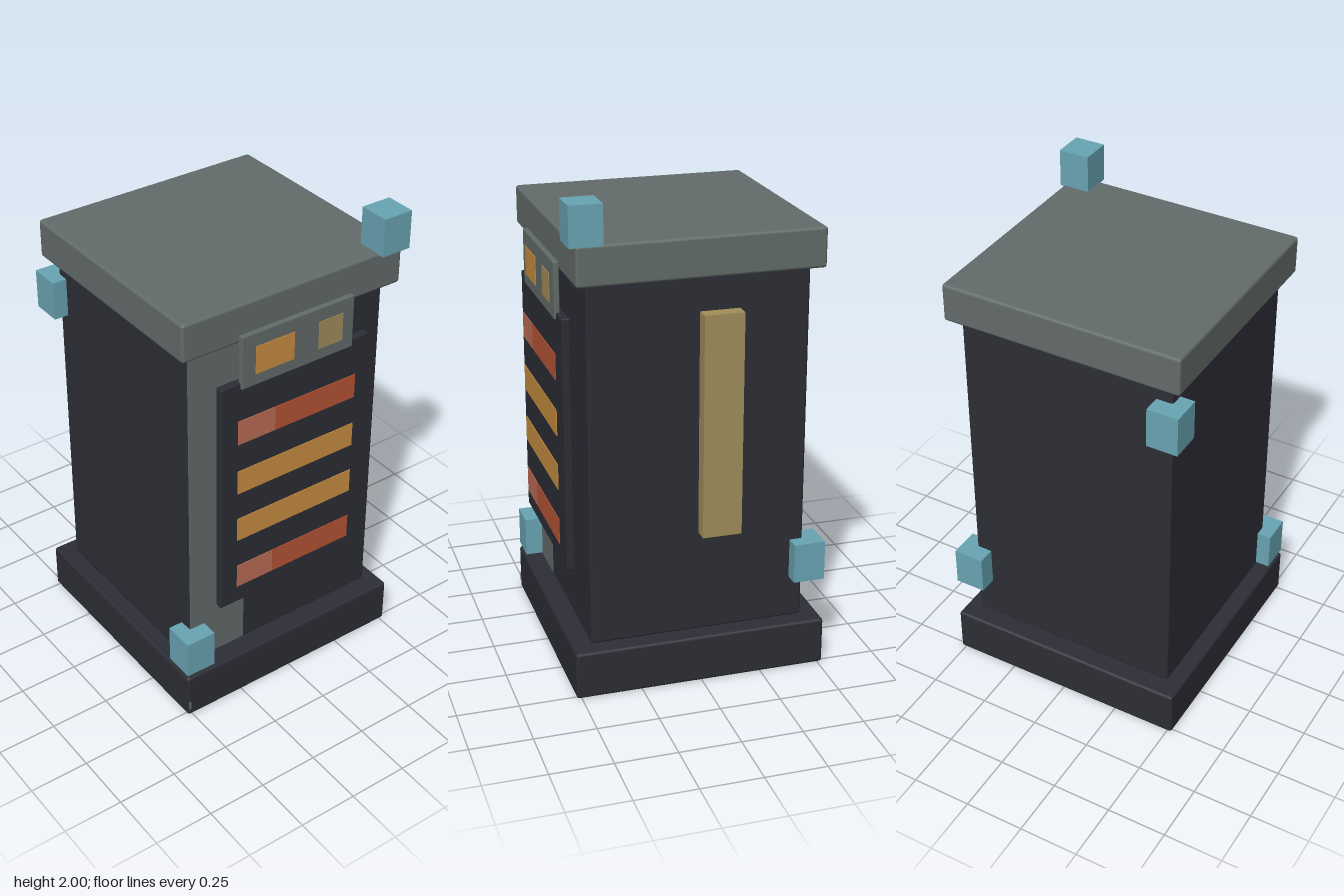
import * as THREE from 'three';
import { RoundedBoxGeometry } from 'three/addons/geometries/RoundedBoxGeometry.js';

const material = (name, color) => {
  const m = new THREE.MeshStandardMaterial({ color });
  m.name = name;
  return m;
};

export function createModel() {
  const model = new THREE.Group();
  model.name = 'serverTower';

  const dark = material('darkMetal', 0x2d2d36);
  const grey = material('greyMetal', 0x636c6a);
  const cyan = material('cyan', 0x69a5b4);
  const gold = material('dullGold', 0xa18e5b);
  const orange = material('orange', 0xc98e41);
  const red = material('red', 0xb85535);
  const paleRed = material('paleRed', 0xbd6d56);

  // Box given by its extents on each axis, with an optional small bevel
  function box(name, mat, [x0, x1], [y0, y1], [z0, z1], bevel = 0) {
    const size = [x1 - x0, y1 - y0, z1 - z0];
    const geometry = bevel
      ? new RoundedBoxGeometry(...size, 2, bevel)
      : new THREE.BoxGeometry(...size);
    const mesh = new THREE.Mesh(geometry, mat);
    mesh.name = name;
    mesh.position.set((x0 + x1) / 2, (y0 + y1) / 2, (z0 + z1) / 2);
    model.add(mesh);
    return mesh;
  }

  // Cabinet: base, body and overhanging cap
  box('base', dark, [-0.52, 0.52], [0, 0.198], [-0.52, 0.52], 0.012);
  box('body', dark, [-0.456, 0.456], [0.202, 1.7], [-0.442, 0.442], 0.01);
  box('cap', grey, [-0.505, 0.505], [1.685, 1.845], [-0.489, 0.489], 0.012);

  // Pale strip down the front of the body, and a small worn spot on the base
  box('bodyStrip', grey, [-0.452, -0.19], [0.21, 1.69], [0.438, 0.444]);
  box('baseSpot', grey, [-0.515, -0.505], [0.03, 0.07], [0.515, 0.521]);

  // Front door and display housing
  box('frontPanel', dark, [-0.35, 0.346], [0.482, 1.525], [0.475, 0.508], 0.005);
  box('displayHousing', grey, [-0.262, 0.26], [1.498, 1.724], [0.493, 0.516], 0.004);

  // Lit plates on the front
  const plateZ = [0.519, 0.522];
  box('displayLight', orange, [-0.202, -0.025], [1.55, 1.668], plateZ);
  box('displayButton', gold, [0.09, 0.203], [1.55, 1.668], plateZ);
  for (const [y, isRed] of [[1.315, true], [1.085, false], [0.858, false], [0.625, true]]) {
    const ys = [y - 0.053, y + 0.053];
    if (isRed) {
      box('lightBarEnd', paleRed, [-0.28, -0.108], ys, plateZ);
      box('lightBar', red, [-0.108, 0.278], ys, plateZ);
    } else {
      box('lightBar', orange, [-0.28, 0.278], ys, plateZ);
    }
  }

  // Upright bar on the side
  box('sideBar', gold, [0.45, 0.515], [0.63, 1.543], [-0.16, 0]);

  // Corner cubes, each at a different height
  for (const [sx, sz, y0, y1] of [
    [1, 1, 1.842, 2], [-1, 1, 0.215, 0.38], [1, -1, 0.38, 0.545], [-1, -1, 1.445, 1.61],
  ]) {
    const span = (s) => (s > 0 ? [0.387, 0.517] : [-0.517, -0.387]);
    box('cornerCube', cyan, span(sx), [y0, y1], span(sz));
  }

  return model;
}
